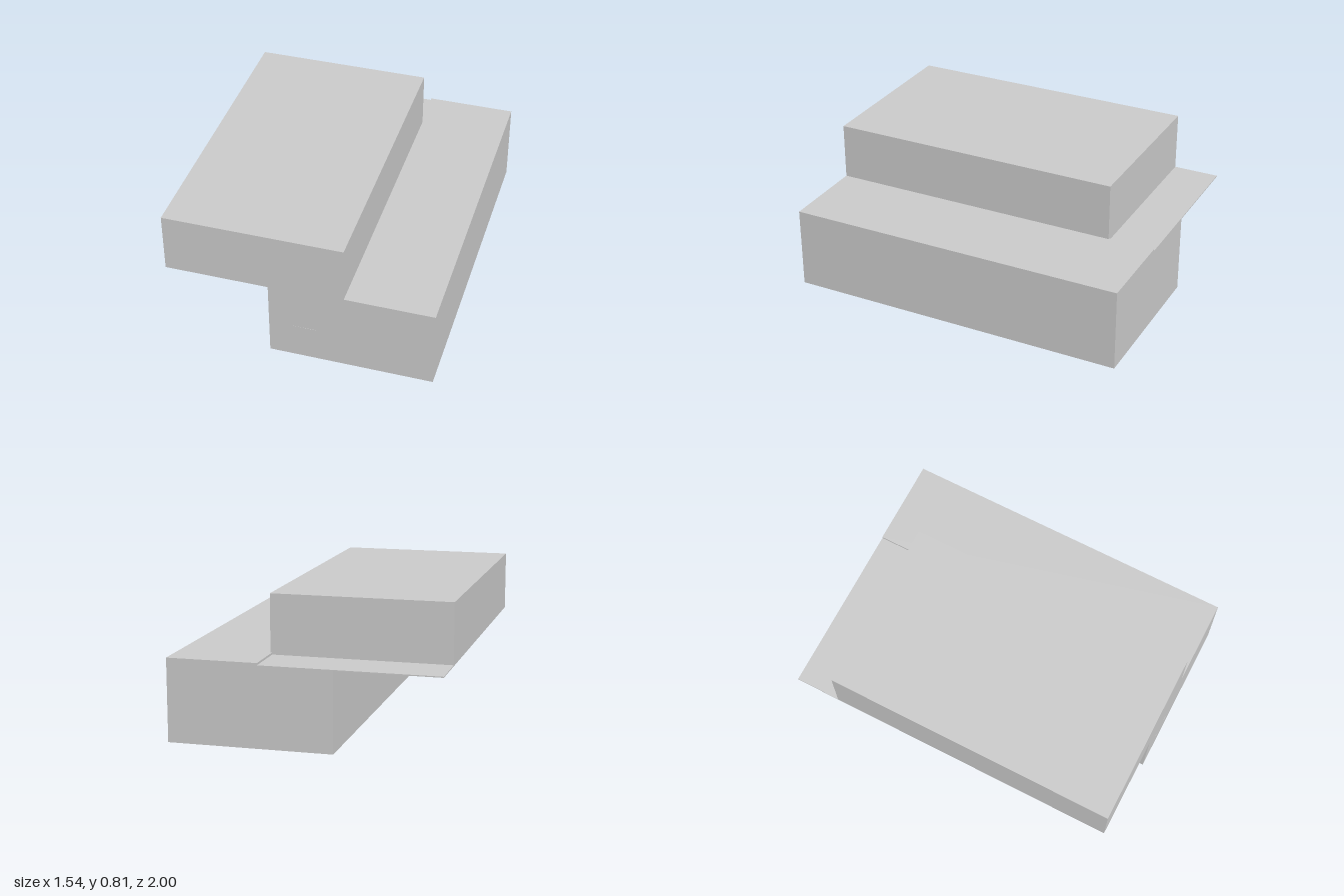
import * as THREE from 'three';

export function createModel() {
  const group = new THREE.Group();
  const material = new THREE.MeshStandardMaterial({ color: 0xcccccc, flatShading: true });

  const add = (name, geometry) => {
    const mesh = new THREE.Mesh(geometry, material);
    mesh.name = name;
    group.add(mesh);
  };

  // Box given by its lower and upper limits on each axis
  const block = (name, [x0, x1], [y0, y1], [z0, z1]) => {
    const geometry = new THREE.BoxGeometry(x1 - x0, y1 - y0, z1 - z0);
    geometry.translate((x0 + x1) / 2, (y0 + y1) / 2, (z0 + z1) / 2);
    add(name, geometry);
  };

  // Lower volume, its top stepped down slightly to seat the deck
  const profile = new THREE.Shape([
    [-0.173, 0], [0.77, 0], [0.77, 0.478], [0.25, 0.478], [0.25, 0.462], [-0.173, 0.462],
  ].map(([x, y]) => new THREE.Vector2(x, y)));
  const lower = new THREE.ExtrudeGeometry(profile, { depth: 2, bevelEnabled: false });
  lower.translate(0, 0, -1);
  add('lowerVolume', lower);

  // Thin deck reaching out over the side, left open as a terrace at the back
  block('terraceDeck', [-0.77, 0.25], [0.46, 0.466], [-1, 1]);

  // Cantilevered upper volume
  block('upperVolume', [-0.77, 0.26], [0.461, 0.81], [-0.73, 1]);

  // Narrow ledge on the front wall
  block('frontLedge', [-0.04, 0.1], [0.205, 0.211], [0.99, 1.001]);

  return group;
}
